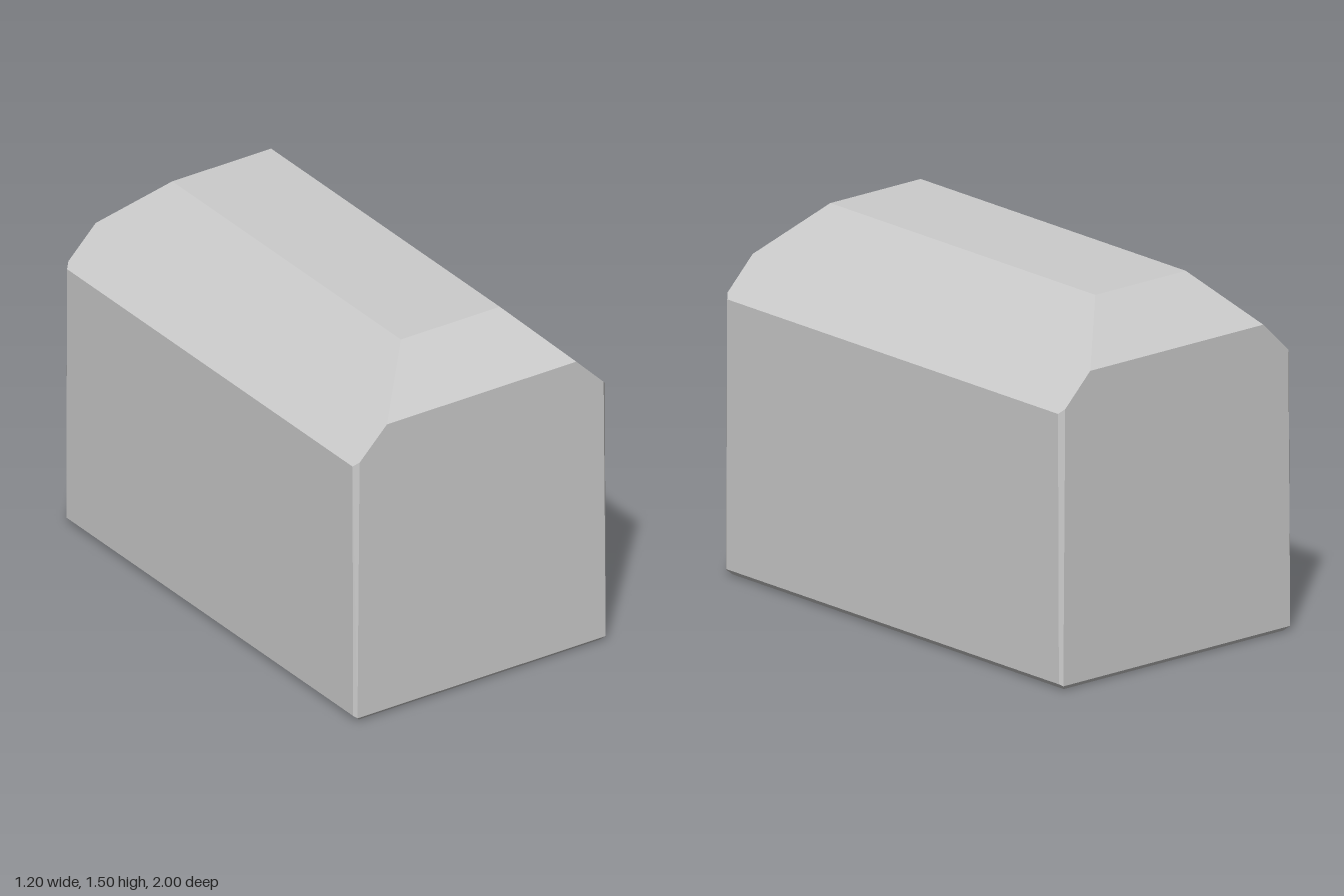
import * as THREE from 'three';
import { ConvexGeometry } from 'three/addons/geometries/ConvexGeometry.js';

export function createModel() {
  const group = new THREE.Group();
  group.name = 'bevelledBlock';

  // Corner points of one quarter, mirrored across x and z
  const quarter = [
    [0.57, 0, 0.98], // underside
    [0.59, 0.02, 1], [0.6, 0.027, 0.985], // bottom bevel
    [0.58, 1.155, 1], [0.6, 1.135, 0.98], // top of the narrow upright corner bevel
    [0.45, 1.285, 1], // foot of the hipped end slope
    [0.235, 1.5, 0.785], // flat top
  ];
  const points = [];
  for (const sx of [1, -1]) {
    for (const sz of [1, -1]) {
      for (const [x, y, z] of quarter) points.push(new THREE.Vector3(sx * x, y, sz * z));
    }
  }

  // Single solid with flat facets
  const material = new THREE.MeshStandardMaterial({ color: 0xcccccc, flatShading: true });
  const body = new THREE.Mesh(new ConvexGeometry(points), material);
  body.name = 'body';
  group.add(body);
  return group;
}
